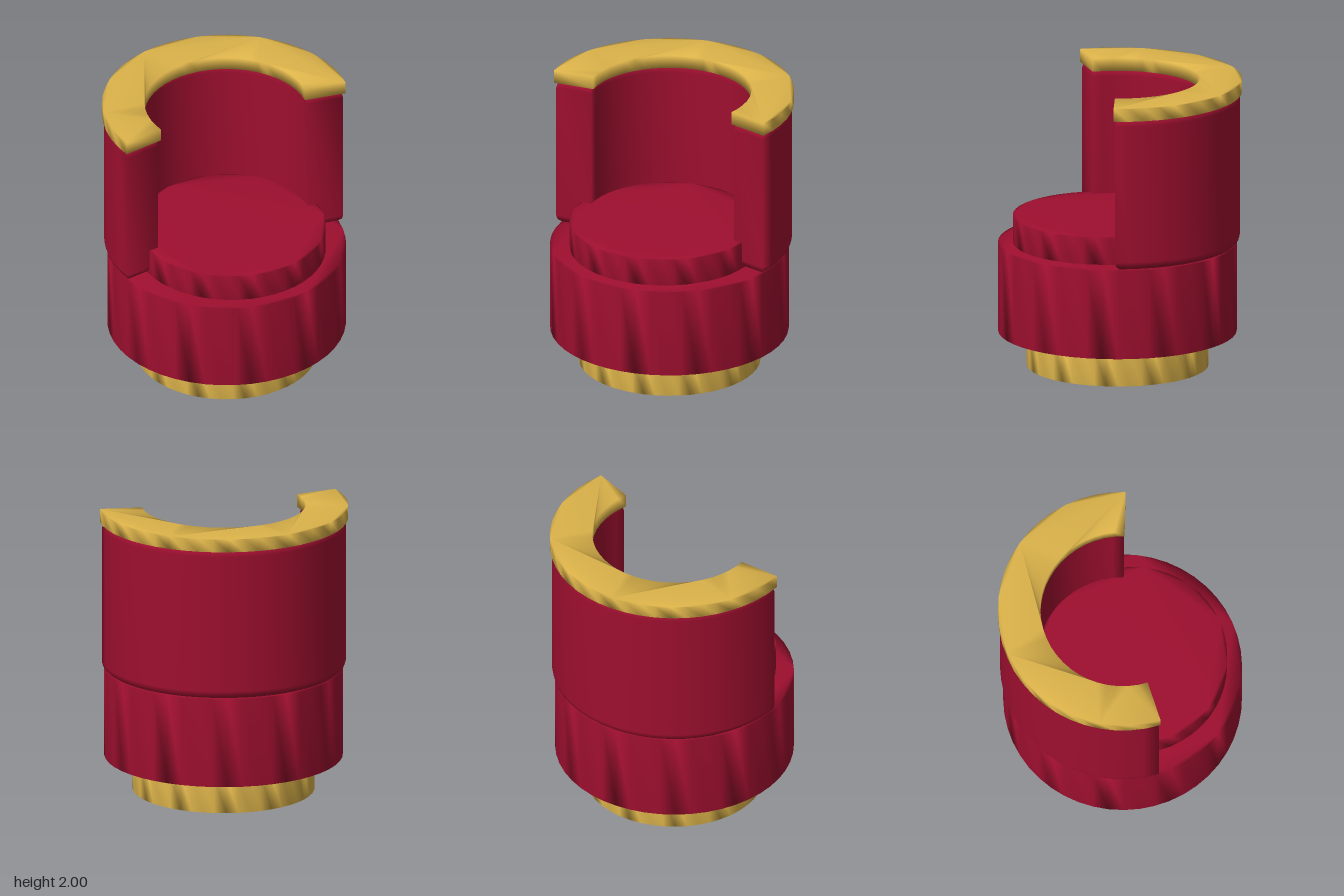
import * as THREE from 'three';
import { mergeVertices } from 'three/addons/utils/BufferGeometryUtils.js';

const DEG = Math.PI / 180;
const red = new THREE.MeshStandardMaterial({ color: 0x9e0f2f });
red.name = 'crimson upholstery';
const gold = new THREE.MeshStandardMaterial({ color: 0xdcb34a });
gold.name = 'gold trim';

// Full disc outline
function disc(radius) {
  return new THREE.Shape().absarc(0, 0, radius, 0, Math.PI * 2, false);
}

// Horseshoe outline, open to the front, with radial ends
function horseshoe(outer, inner, overlap) {
  const a = overlap * DEG;
  const shape = new THREE.Shape();
  shape.absarc(0, 0, outer, -a, Math.PI + a, false);
  shape.absarc(0, 0, inner, Math.PI + a, -a, true);
  shape.closePath();
  return shape;
}

// Raise an outline from y0 to y1, with welded corners for soft shading
function slab(name, shape, y0, y1, z, material, curveSegments, bevel = 0) {
  let geometry = new THREE.ExtrudeGeometry(shape, {
    depth: y1 - y0 - 2 * bevel,
    curveSegments,
    bevelEnabled: bevel > 0,
    bevelSize: bevel,
    bevelThickness: bevel,
    bevelOffset: -bevel,
    bevelSegments: 3,
  });
  geometry.deleteAttribute('normal');
  geometry.deleteAttribute('uv');
  geometry = mergeVertices(geometry, 1e-4);
  geometry.rotateX(-Math.PI / 2);
  geometry.translate(0, y0 + bevel, z);
  geometry.computeVertexNormals();
  const mesh = new THREE.Mesh(geometry, material);
  mesh.name = name;
  return mesh;
}

export function createModel() {
  const chair = new THREE.Group();
  chair.name = 'tubChair';
  chair.add(
    slab('plinth', disc(0.617), 0, 0.24, 0.018, gold, 24),
    slab('seatBase', disc(0.81), 0.24, 0.86, 0.02, red, 24),
    slab('seatCushion', disc(0.64), 0.86, 1.05, 0.09, red, 24),
    // Wrap-around padded back, tucked slightly into the top rail
    slab('backrest', horseshoe(0.832, 0.575, 9), 0.86, 1.93, 0.02, red, 14, 0.06),
    slab('topRail', horseshoe(0.845, 0.557, 9.6), 1.91, 2, 0.02, gold, 14),
  );
  return chair;
}
